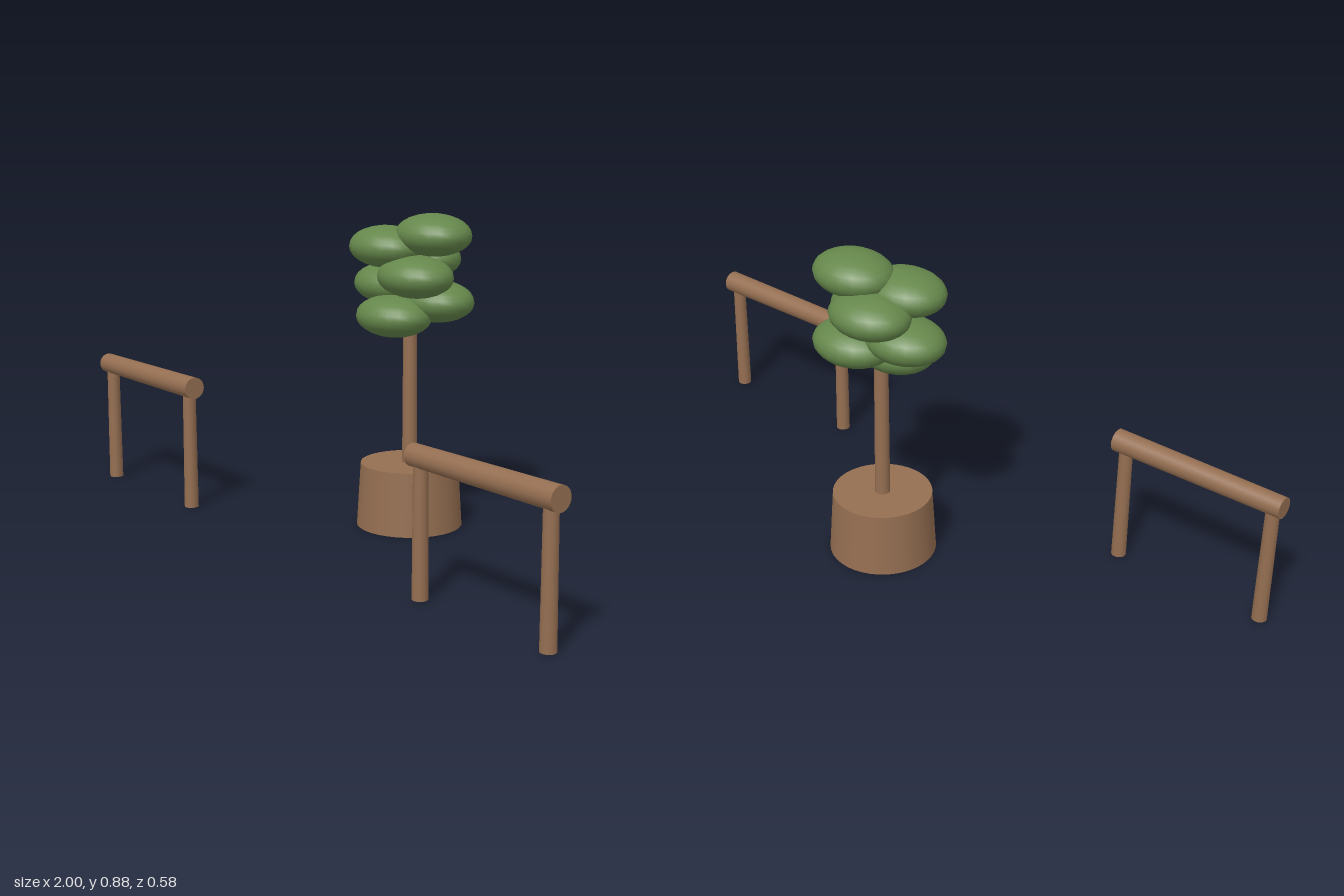
import * as THREE from 'three';

export function createModel() {
  const model = new THREE.Group();
  model.name = 'plantedTreeWithRails';
  const wood = new THREE.MeshStandardMaterial({ name: 'wood brown', color: 0x946e51 });
  const leaf = new THREE.MeshStandardMaterial({ name: 'leaf green', color: 0x65874b });

  const add = (parent, name, geometry, material, x, y, z) => {
    const mesh = new THREE.Mesh(geometry, material);
    mesh.name = name;
    mesh.position.set(x, y, z);
    parent.add(mesh);
    return mesh;
  };

  // Tree: tapered planter, slim trunk and a cluster of flattened leaf clumps
  const tree = new THREE.Group();
  tree.name = 'tree';
  tree.position.z = -0.135;
  model.add(tree);
  add(tree, 'planter', new THREE.CylinderGeometry(0.137, 0.148, 0.178, 40), wood, 0, 0.089, 0);
  add(tree, 'trunk', new THREE.CylinderGeometry(0.019, 0.021, 0.46, 20), wood, 0, 0.39, 0);

  const clumpGeometry = new THREE.SphereGeometry(1, 20, 14);
  const clumps = [
    [0.078, 0.822, -0.016],
    [-0.045, 0.784, 0.047],
    [-0.018, 0.748, -0.061],
    [0.066, 0.711, 0.037],
    [-0.084, 0.675, 0.0],
    [0.058, 0.637, -0.044],
    [0.0, 0.598, 0.058],
  ];
  clumps.forEach(([x, y, z], i) => {
    add(tree, `leafClump${i + 1}`, clumpGeometry, leaf, x, y, z).scale.set(0.117, 0.058, 0.096);
  });

  // Rails: a round beam resting on two posts, one on each side
  const beamGeometry = new THREE.CylinderGeometry(0.0315, 0.029, 0.505, 24).rotateZ(-Math.PI / 2);
  const postGeometry = new THREE.CylinderGeometry(0.0185, 0.0205, 0.345, 20);
  for (const side of [-1, 1]) {
    const rail = new THREE.Group();
    rail.name = side > 0 ? 'leftRail' : 'rightRail';
    rail.position.set(side * 0.7475, 0, 0.26);
    add(rail, 'beam', beamGeometry, wood, 0, 0.357, 0);
    for (const end of [-1, 1]) add(rail, 'post', postGeometry, wood, end * 0.223, 0.1725, 0);
    model.add(rail);
  }
  return model;
}
